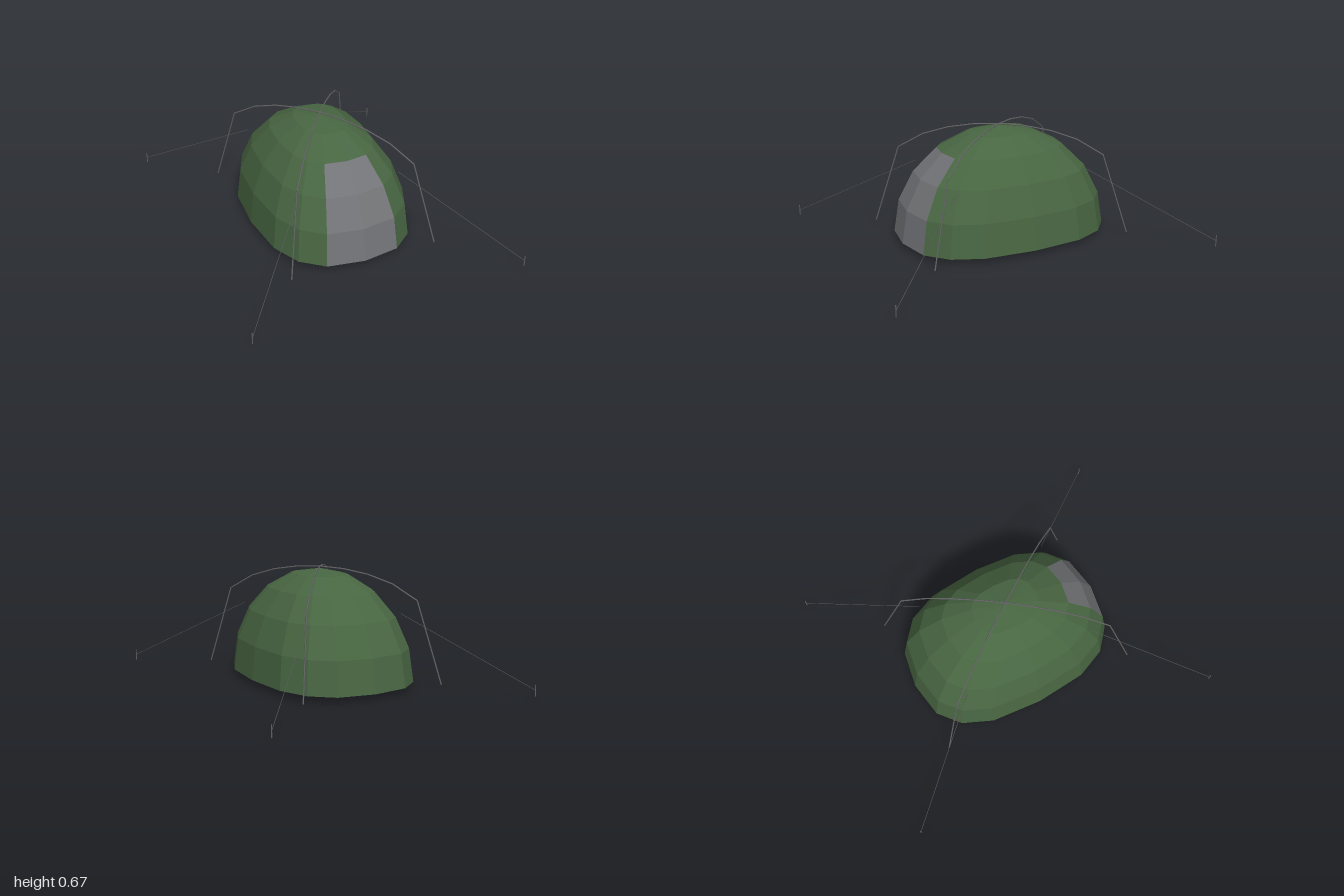
import * as THREE from 'three';

const SIDES = 16, RINGS = 5, BASE = 0.03;
const HALF_W = 0.45, HALF_L = 0.63, HEIGHT = 0.63;

const mat = (name, color) => {
  const m = new THREE.MeshStandardMaterial({ color });
  m.name = name;
  return m;
};

// point on the dome: ring 0 is the apex, ring RINGS the ground edge
function domePoint(ring, k) {
  const a = (k / SIDES) * Math.PI * 2;
  const t = (ring / RINGS) * Math.PI / 2;
  const soft = (v) => Math.sign(v) * Math.pow(Math.abs(v), 0.75);
  return [
    HALF_W * soft(Math.sin(a)) * Math.sin(t),
    BASE + HEIGHT * Math.cos(t),
    HALF_L * soft(Math.cos(a)) * Math.sin(t),
  ];
}

// unshared triangles keep every facet flat
function facets(name, positions, material) {
  const g = new THREE.BufferGeometry();
  g.setAttribute('position', new THREE.Float32BufferAttribute(positions, 3));
  g.computeVertexNormals();
  const mesh = new THREE.Mesh(g, material);
  mesh.name = name;
  return mesh;
}

// straight round bar between two points
function rod(name, a, b, radius, material) {
  const dir = b.clone().sub(a);
  const mesh = new THREE.Mesh(new THREE.CylinderGeometry(radius, radius, dir.length(), 6), material);
  mesh.position.copy(a).add(b).multiplyScalar(0.5);
  mesh.quaternion.setFromUnitVectors(new THREE.Vector3(0, 1, 0), dir.normalize());
  mesh.name = name;
  return mesh;
}

export function createModel() {
  const model = new THREE.Group();
  model.name = 'domeTent';
  const green = mat('greenFabric', 0x486642);
  const grey = mat('greyFabric', 0x727477);
  const metal = mat('poleMetal', 0x646466);
  const cord = mat('cord', 0x5a5a5a);

  // dome fabric, door panel and groundsheet
  const shell = [], door = [], floor = [];
  for (let k = 0; k < SIDES; k++) {
    for (let r = 0; r < RINGS; r++) {
      const a = domePoint(r, k), b = domePoint(r + 1, k);
      const c = domePoint(r + 1, k + 1), d = domePoint(r, k + 1);
      const isDoor = r >= 2 && (k === 0 || k === SIDES - 1);
      const out = isDoor ? door : shell;
      out.push(...a, ...b, ...c);
      if (r > 0) out.push(...a, ...c, ...d);
    }
    floor.push(0, BASE, 0, ...domePoint(RINGS, k + 1), ...domePoint(RINGS, k));
  }
  model.add(facets('domeShell', shell, green));
  model.add(facets('doorPanel', door, grey));
  model.add(facets('groundsheet', floor, grey));

  // two crossing poles arched over the diagonals
  for (const s of [1, -1]) {
    const pole = new THREE.Group();
    pole.name = s > 0 ? 'poleA' : 'poleB';
    const at = (i) => {
      const t = i / 5;
      return new THREE.Vector3(0.445 * t * s, BASE + 0.64 * Math.pow(1 - t * t, 0.295), 0.623 * t);
    };
    for (let i = -5; i < 5; i++) pole.add(rod('poleSegment', at(i), at(i + 1), 0.004, metal));
    model.add(pole);
  }

  // guy ropes and their stakes at the four corners
  for (const sx of [1, -1]) {
    for (const sz of [1, -1]) {
      const v = (x, y, z) => new THREE.Vector3(x * sx, y, z * sz);
      model.add(rod('guyRope', v(0.305, 0.42, 0.41), v(0.814, 0.035, 0.997), 0.0016, cord));
      model.add(rod('stake', v(0.814, 0, 0.997), v(0.814, 0.066, 0.997), 0.003, metal));
    }
  }
  return model;
}
